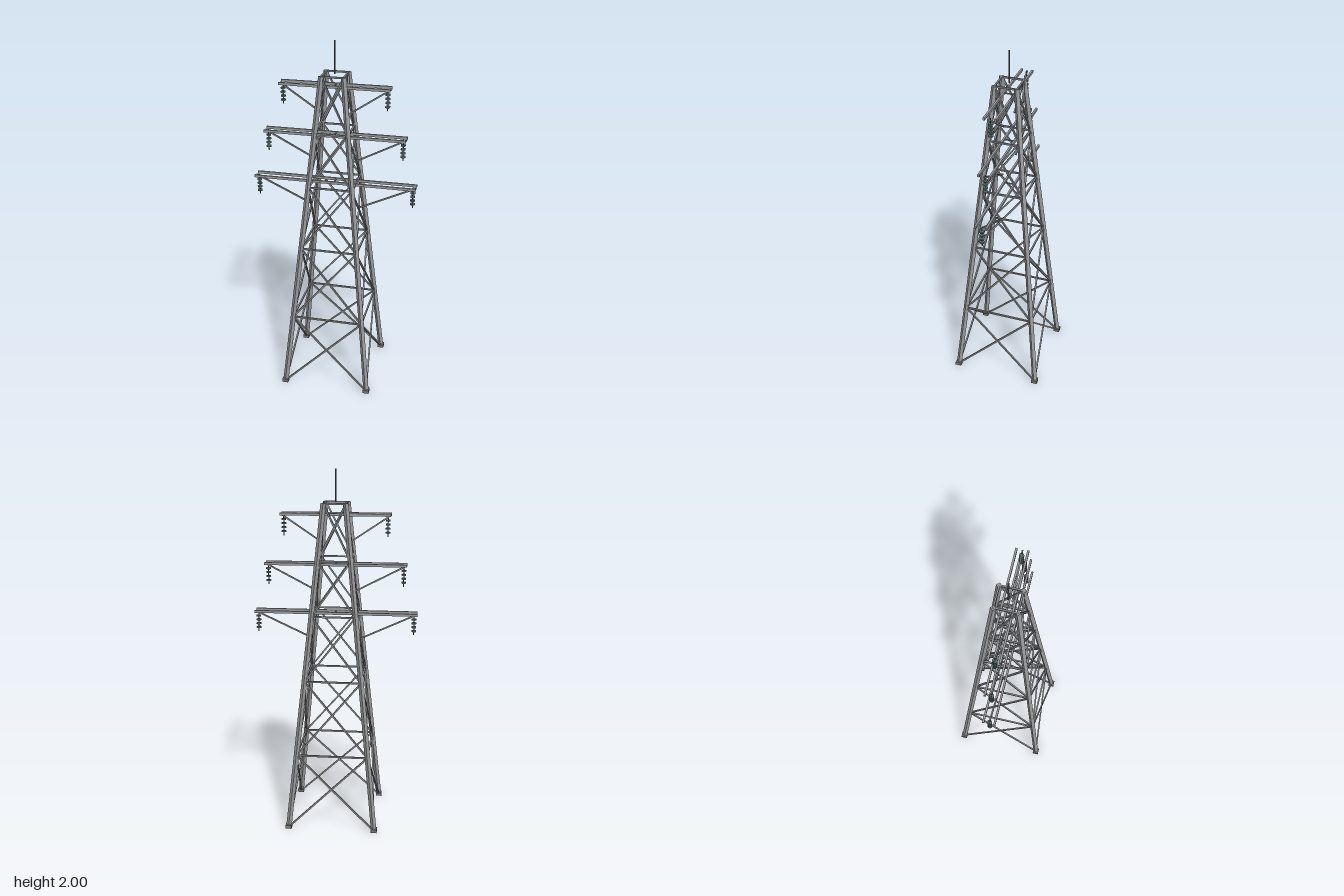
import * as THREE from 'three';

const paint = (name, color) => {
  const m = new THREE.MeshStandardMaterial({ color });
  m.name = name;
  return m;
};

const HEIGHT = 1.822;
// half width of the tapering tower at a height
const half = (y) => 0.243 - (0.183 * y) / HEIGHT;
const V = (x, y, z) => new THREE.Vector3(x, y, z);

// square bar running between two points
function bar(name, a, b, w, mat, h = w) {
  const mesh = new THREE.Mesh(new THREE.BoxGeometry(w, h, a.distanceTo(b)), mat);
  mesh.name = name;
  mesh.position.copy(a).add(b).multiplyScalar(0.5);
  mesh.lookAt(b);
  return mesh;
}

// string of discs hanging from its origin
function insulator(rodMat, discMat) {
  const g = new THREE.Group();
  g.name = 'insulator';
  const rod = new THREE.Mesh(new THREE.CylinderGeometry(0.003, 0.003, 0.12, 6), rodMat);
  rod.name = 'insulatorRod';
  rod.position.y = -0.06;
  g.add(rod);
  for (let i = 0; i < 4; i++) {
    const disc = new THREE.Mesh(new THREE.CylinderGeometry(0.0135, 0.0135, 0.008, 10), discMat);
    disc.name = 'insulatorDisc';
    disc.position.y = -0.031 - i * 0.022;
    g.add(disc);
  }
  return g;
}

export function createModel() {
  const steel = paint('steel', 0x989a9c);
  const brace = paint('braceSteel', 0x8a8c8e);
  const dark = paint('darkSteel', 0x5a5c62);
  const footing = paint('footing', 0x777777);
  const ceramic = paint('ceramic', 0x607876);

  const tower = new THREE.Group();
  tower.name = 'pylon';

  // legs and footings
  for (const sx of [-1, 1]) {
    for (const sz of [-1, 1]) {
      const t = half(HEIGHT), b = half(0);
      tower.add(bar('leg', V(sx * b, 0.005, sz * b), V(sx * t, HEIGHT, sz * t), 0.022, steel));
      const foot = new THREE.Mesh(new THREE.BoxGeometry(0.035, 0.02, 0.035), footing);
      foot.name = 'foot';
      foot.position.set(sx * b, 0.01, sz * b);
      tower.add(foot);
    }
  }

  // four lattice faces: a crossed pair and a horizontal in each bay
  const levels = [0.005, 0.428, 0.852, 1.213, 1.515, HEIGHT - 0.002];
  for (let f = 0; f < 4; f++) {
    const face = new THREE.Group();
    face.name = 'latticeFace';
    face.rotation.y = (f * Math.PI) / 2;
    for (let i = 0; i < levels.length - 1; i++) {
      const y0 = levels[i], y1 = levels[i + 1];
      const w0 = half(y0), w1 = half(y1);
      for (const s of [-1, 1]) {
        face.add(bar('diagonalBrace', V(-s * w0, y0, w0), V(s * w1, y1, w1), 0.009, brace));
      }
      face.add(bar('horizontalBrace', V(-w1, y1, w1), V(w1, y1, w1), 0.009, brace));
    }
    tower.add(face);
  }

  // cross arms: twin beams, struts and insulators
  const arms = [
    { y: 1.215, reach: 0.455, hang: 0.437 },
    { y: 1.487, reach: 0.393, hang: 0.375 },
    { y: 1.76, reach: 0.302, hang: 0.285 },
  ];
  for (const { y, reach, hang } of arms) {
    const arm = new THREE.Group();
    arm.name = 'crossArm';
    for (const s of [-1, 1]) {
      arm.add(bar('armBeam', V(-reach, y, s * 0.03), V(reach, y, s * 0.03), 0.011, steel, 0.014));
      const low = y - 0.15;
      arm.add(bar('armStrut', V(s * reach, y - 0.002, 0), V(s * half(low), low, 0), 0.008, brace));
      const string = insulator(dark, ceramic);
      string.position.set(s * hang, y, 0);
      arm.add(string);
    }
    arm.add(bar('armTie', V(0, y, -0.03), V(0, y, 0.03), 0.006, brace));
    tower.add(arm);
  }

  // lightning spike
  const spike = new THREE.Mesh(new THREE.CylinderGeometry(0.004, 0.004, 2 - HEIGHT, 8), dark);
  spike.name = 'spike';
  spike.position.y = (2 + HEIGHT) / 2;
  tower.add(spike);

  return tower;
}
